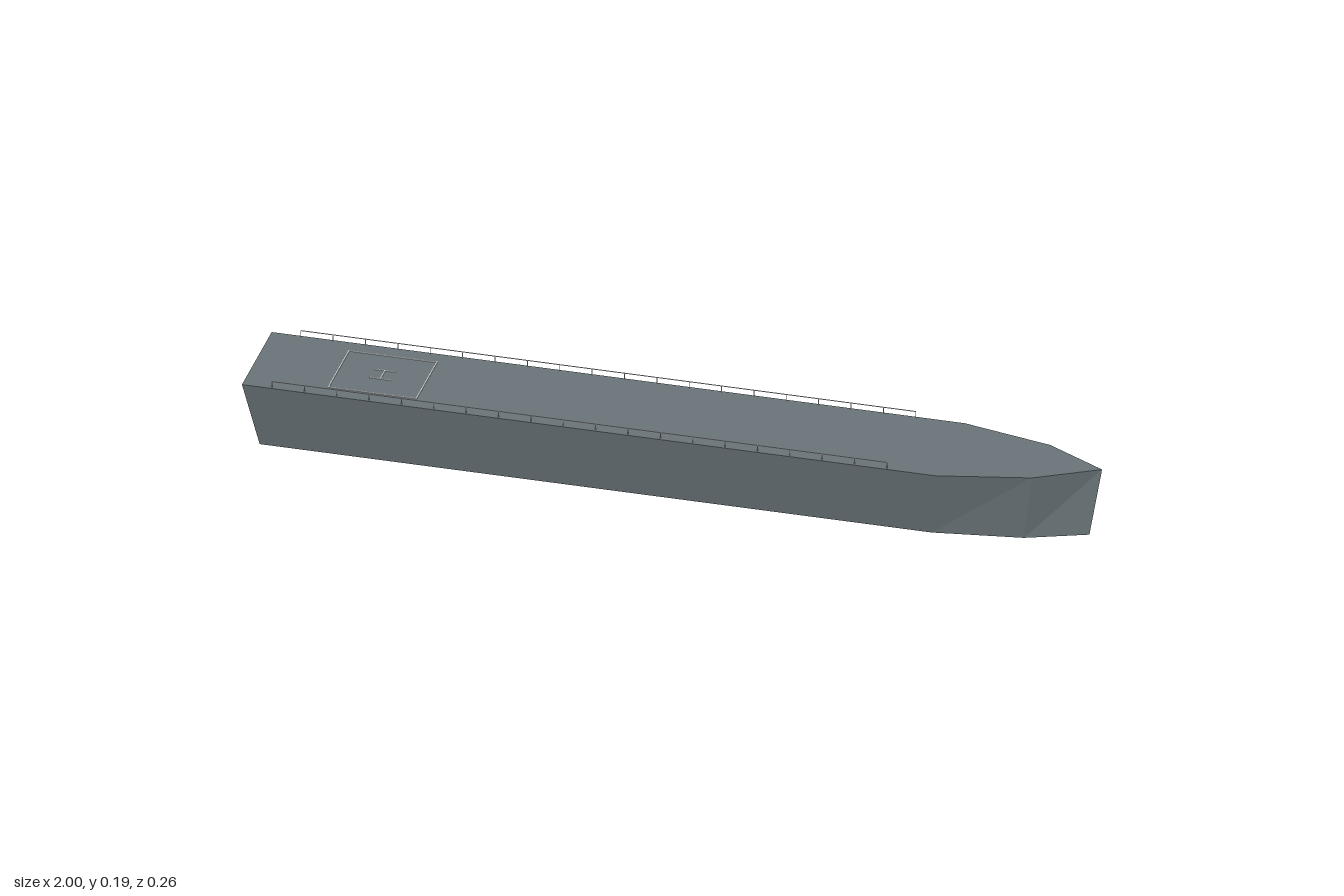
import * as THREE from 'three';

const DECK_Y = 0.174;
const THIN = 0.0016;

// Closed prism between a lower and an upper outline (flat faces)
function loftGeometry(lower, upper) {
  const pos = [];
  const tri = (a, b, c) => pos.push(...a, ...b, ...c);
  const n = upper.length;
  for (let i = 0; i < n; i++) {
    const j = (i + 1) % n;
    tri(lower[i], lower[j], upper[j]);
    tri(lower[i], upper[j], upper[i]);
    if (i > 0 && i < n - 1) {
      tri(upper[0], upper[i], upper[i + 1]);
      tri(lower[0], lower[i + 1], lower[i]);
    }
  }
  const g = new THREE.BufferGeometry();
  g.setAttribute('position', new THREE.Float32BufferAttribute(pos, 3));
  g.computeVertexNormals();
  return g;
}

// Symmetric ship outline, counter-clockwise seen from above
function outline(y, half, tip) {
  const port = half.map(([x, z]) => [x, y, z]);
  const starboard = half.map(([x, z]) => [x, y, -z]).reverse();
  return [...port, [tip, y, 0], ...starboard];
}

export function createModel() {
  const model = new THREE.Group();
  model.name = 'shipHull';
  const hullGrey = new THREE.MeshStandardMaterial({ color: 0x6b767a, flatShading: true });
  hullGrey.name = 'hull grey';
  const white = new THREE.MeshStandardMaterial({ color: 0xe6e8e8 });
  white.name = 'pale grey';

  const bar = (parent, name, w, h, d, x, y, z) => {
    const m = new THREE.Mesh(new THREE.BoxGeometry(w, h, d), white);
    m.name = name;
    m.position.set(x, y, z);
    parent.add(m);
  };

  // Hull with flared sides and a pointed bow
  const lower = outline(0, [[-0.97, 0.085], [0.62, 0.085], [0.83, 0.054]], 0.97);
  const upper = outline(DECK_Y, [[-1, 0.129], [0.64, 0.129], [0.855, 0.081]], 1);
  const hull = new THREE.Mesh(loftGeometry(lower, upper), hullGrey);
  hull.name = 'hull';
  model.add(hull);

  // Landing pad: square border and central mark
  const pad = new THREE.Group();
  pad.name = 'landingPad';
  pad.position.set(-0.702, DECK_Y + 0.0008, 0);
  for (const s of [-1, 1]) {
    bar(pad, 'padSideLine', 0.21, THIN, THIN * 1.5, 0, 0, s * 0.089);
    bar(pad, 'padEndLine', THIN * 1.5, THIN, 0.178, s * 0.104, 0, 0);
    bar(pad, 'padMarkStroke', 0.05, THIN, THIN * 1.5, 0, 0, s * 0.02);
  }
  bar(pad, 'padMarkBar', THIN * 1.5, THIN, 0.04, 0, 0, 0);
  model.add(pad);

  // Thin railings along both deck edges
  const start = -0.93, end = 0.525, posts = 20, height = 0.016;
  for (const s of [-1, 1]) {
    const railing = new THREE.Group();
    railing.name = s > 0 ? 'frontRailing' : 'backRailing';
    const z = s * 0.125;
    bar(railing, 'handRail', end - start, THIN, THIN, (start + end) / 2, DECK_Y + height, z);
    for (let i = 0; i < posts; i++) {
      const x = start + ((end - start) * i) / (posts - 1);
      bar(railing, 'railPost', THIN, height, THIN, x, DECK_Y + height / 2, z);
    }
    model.add(railing);
  }
  return model;
}
